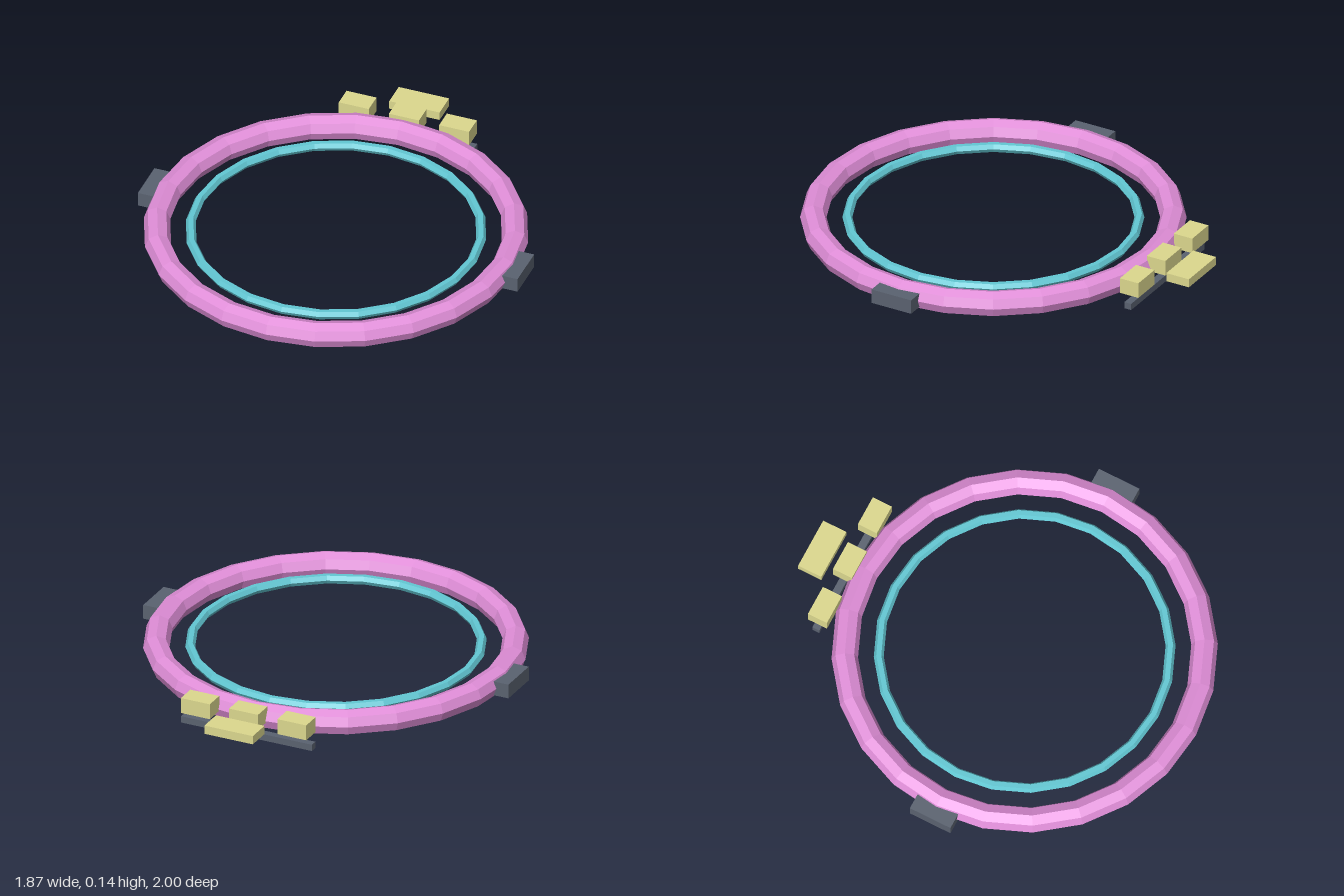
import * as THREE from 'three';

const material = (color) => new THREE.MeshStandardMaterial({ color, flatShading: true });

export function createModel() {
  const model = new THREE.Group();
  model.name = 'ringStation';
  const pink = material(0xe08ed8);
  const cyan = material(0x62c8d4);
  const slate = material(0x5a6270);
  const yellow = material(0xdcd88e);
  const ringY = 0.075, ringZ = 0.108;

  // Flat-lying faceted ring
  function ring(name, radius, tube, sides, mat) {
    const geometry = new THREE.TorusGeometry(radius, tube, sides, 24);
    geometry.rotateX(Math.PI / 2);
    const mesh = new THREE.Mesh(geometry, mat);
    mesh.name = name;
    mesh.position.set(0, ringY, ringZ);
    model.add(mesh);
  }

  function box(name, size, position, mat) {
    const mesh = new THREE.Mesh(new THREE.BoxGeometry(...size), mat);
    mesh.name = name;
    mesh.position.set(...position);
    model.add(mesh);
  }

  // Concentric rings
  ring('outerRing', 0.826, 0.061, 8, pink);
  ring('innerRing', 0.67, 0.023, 6, cyan);

  // Blocks on either side of the outer ring
  for (const [name, side] of [['leftBlock', 1], ['rightBlock', -1]]) {
    box(name, [0.11, 0.07, 0.21], [side * 0.88, ringY, ringZ], slate);
  }

  // Rear bar, the row of modules above it, and the loose rear module
  box('rearBar', [0.67, 0.032, 0.036], [0, 0.016, -0.798], slate);
  for (const [i, name] of ['rightModule', 'middleModule', 'leftModule'].entries()) {
    box(name, [0.148, 0.076, 0.098], [(i - 1) * 0.247, 0.103, -0.797], yellow);
  }
  box('rearModule', [0.248, 0.042, 0.12], [0, 0.09, -0.94], yellow);

  return model;
}
